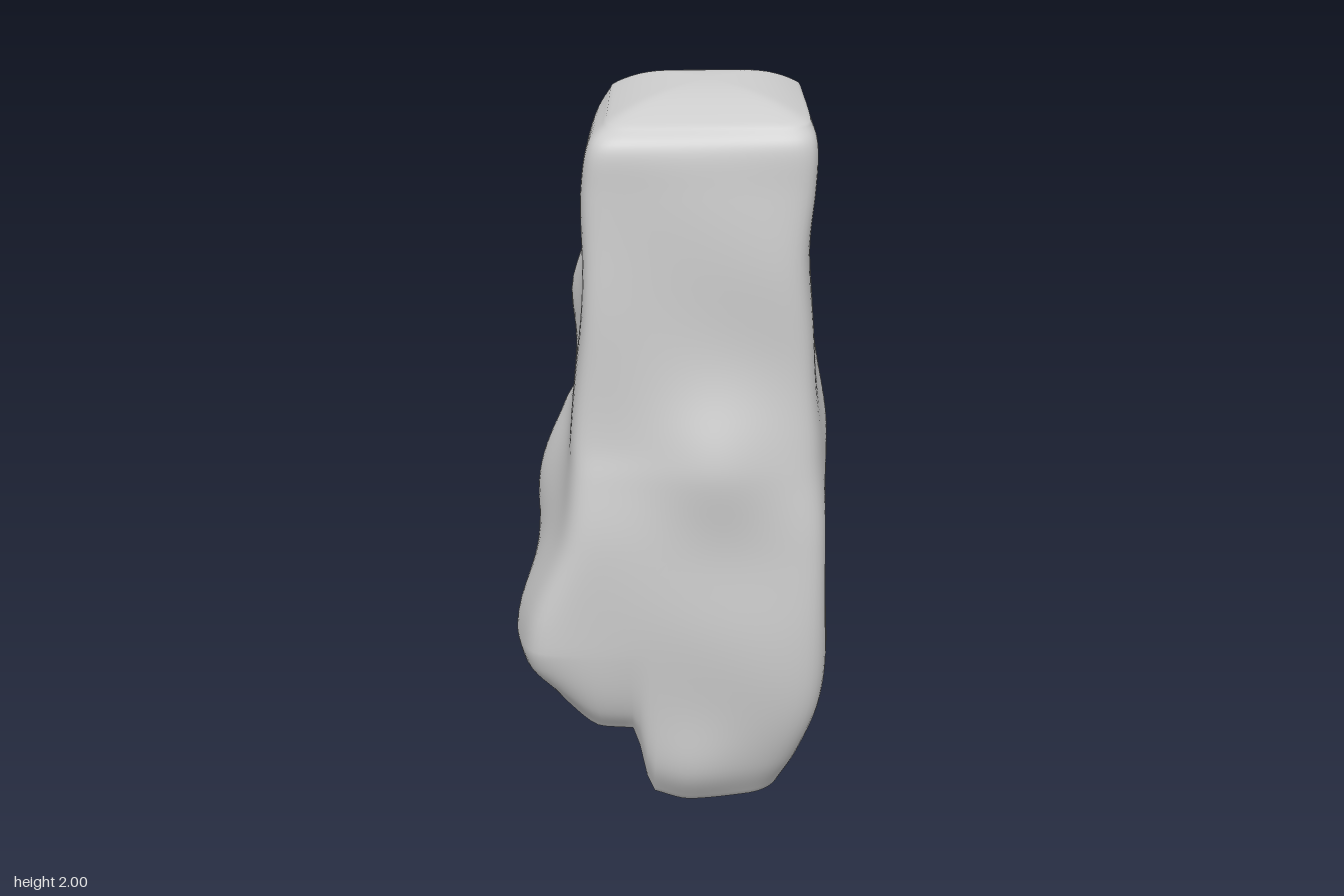
import * as THREE from 'three';

const { smoothstep, lerp } = THREE.MathUtils;

// Corner ridges of the pillar from bottom to top: [y, x, z]
const ridges = {
  backLeft: [[0, -0.27, -0.34], [0.12, -0.3, -0.39], [0.3, -0.32, -0.43], [0.55, -0.33, -0.435], [0.8, -0.33, -0.41], [0.98, -0.31, -0.37],
    [1.1, -0.26, -0.31], [1.3, -0.25, -0.285], [1.55, -0.23, -0.26], [1.75, -0.22, -0.25], [1.87, -0.2, -0.24], [1.95, -0.16, -0.21]],
  backRight: [[0, 0.38, -0.31], [0.12, 0.4, -0.33], [0.3, 0.405, -0.33], [0.55, 0.405, -0.3], [0.8, 0.41, -0.28], [0.98, 0.42, -0.27],
    [1.1, 0.42, -0.26], [1.3, 0.4, -0.255], [1.55, 0.38, -0.25], [1.75, 0.37, -0.24], [1.87, 0.365, -0.235], [1.95, 0.355, -0.22]],
  frontRight: [[0, 0.28, 0.28], [0.12, 0.34, 0.345], [0.3, 0.39, 0.39], [0.55, 0.41, 0.41], [0.8, 0.4, 0.39], [0.98, 0.385, 0.365],
    [1.1, 0.38, 0.355], [1.3, 0.36, 0.345], [1.55, 0.345, 0.345], [1.75, 0.36, 0.335], [1.87, 0.36, 0.325], [1.925, 0.34, 0.29]],
  frontLeft: [[0, -0.33, 0.32], [0.12, -0.37, 0.36], [0.3, -0.4, 0.385], [0.55, -0.4, 0.4], [0.8, -0.32, 0.4], [0.98, -0.29, 0.38],
    [1.1, -0.285, 0.36], [1.3, -0.27, 0.35], [1.55, -0.25, 0.345], [1.75, -0.255, 0.335], [1.87, -0.24, 0.325], [1.925, -0.19, 0.28]],
};

// Soft lumps and dents: [centre], radius, [push]
const lumps = [
  [[-0.37, 0.48, 0.13], 0.2, [-0.065, 0, 0]],
  [[-0.32, 0.88, 0.0], 0.19, [-0.06, 0, 0]],
  [[-0.24, 1.42, -0.04], 0.11, [-0.03, 0, 0]],
  [[0.1, 1.03, 0.37], 0.17, [0, 0, 0.045]],
  [[0.05, 0.1, 0.33], 0.15, [0, 0, 0.03]],
  [[0.4, 0.35, 0.03], 0.25, [0.025, 0, 0]],
  [[0.36, 0.08, 0.03], 0.13, [0.045, 0, 0]],
  [[0.4, 1.0, 0.05], 0.2, [0.02, 0, 0]],
  [[0.18, 0.45, -0.35], 0.15, [0, 0, -0.02]],
];

// Height of the broken underside: a sloping foot at front right, raised ledges elsewhere
function underside(x, z) {
  const foot = smoothstep(x, -0.12, -0.065) * smoothstep(z, -0.165, -0.115);
  const slope = Math.max(0, (0.22 - z) / 0.34);
  const footY = 0.005 + 0.105 * slope ** 1.2
    + 0.04 * smoothstep(x, 0.2, 0.42) + 0.035 * (1 - smoothstep(x, -0.1, 0.04));
  const front = smoothstep(z, -0.2, 0.08);
  const ledgeY = 0.185 + 0.015 * smoothstep(-x, 0.1, 0.3) + 0.045 * front
    + 0.11 * front * smoothstep(-x, 0.2, 0.36);
  return lerp(ledgeY, footY, foot);
}

function createRockGeometry() {
  const perSide = 32, around = perSide * 4, sideRings = 80, capRings = 24, blend = 0.5;
  const curves = Object.values(ridges).map(list => new THREE.CatmullRomCurve3(
    list.map(([y, x, z]) => new THREE.Vector3(x, y, z)), false, 'catmullrom', 0.5));

  // Rounded-square directions, walking right, front, left, back
  const walk = [];
  for (let j = 0; j < around; j++) {
    const side = Math.floor(j / perSide), k = -1 + 2 * (j % perSide) / perSide;
    const [u, v] = [[1, k], [-k, 1], [-1, -k], [k, -1]][side];
    const r = (Math.abs(u) ** 10 + Math.abs(v) ** 10) ** 0.1;
    walk.push([u / r, v / r]);
  }

  // One cross-section, blended between the four ridges and shrunk by s
  const section = (t, s) => {
    const [bl, br, fr, fl] = curves.map(c => c.getPoint(t));
    return walk.map(([u, v]) => {
      const a = (u * s + 1) / 2, b = (v * s + 1) / 2;
      return bl.clone().lerp(br, a).lerp(fl.clone().lerp(fr, a), b);
    });
  };

  const rings = [];
  for (let i = 0; i < capRings; i++) {
    const ring = section(0, Math.max(i / capRings, 0.001));
    ring.forEach(p => { p.y = underside(p.x, p.z); });
    rings.push(ring);
  }
  for (let i = 0; i <= sideRings; i++) {
    const ring = section(i / sideRings, 1);
    ring.forEach(p => {
      if (p.y < blend) {
        const low = underside(p.x, p.z);
        p.y = low + p.y * (blend - low) / blend;
      }
    });
    rings.push(ring);
  }
  // Crown: domed, highest a little behind the middle
  for (let i = capRings - 1; i >= 0; i--) {
    const s = Math.max(i / capRings, 0.001), ring = section(1, s);
    ring.forEach(p => { p.y += (1 - s ** 2.5) * (0.062 - 0.03 * (p.z - 0.04)); });
    rings.push(ring);
  }

  const positions = [], index = [], centre = new THREE.Vector3(), push = new THREE.Vector3();
  rings.forEach((ring, i) => ring.forEach((p, j) => {
    const start = p.clone();
    for (const [c, radius, d] of lumps) {
      const w = Math.exp(-start.distanceToSquared(centre.set(...c)) / (radius * radius));
      p.addScaledVector(push.set(...d), w);
    }
    // Gentle weathering
    p.x += 0.003 * Math.sin(start.y * 13 + start.z * 9);
    p.z += 0.003 * Math.sin(start.y * 11 + start.x * 10 + 1);
    positions.push(p.x, p.y, p.z);
    if (i === rings.length - 1) return;
    const a = i * around + j, b = i * around + (j + 1) % around;
    index.push(a, a + around, b, b, a + around, b + around);
  }));

  const geometry = new THREE.BufferGeometry();
  geometry.setAttribute('position', new THREE.Float32BufferAttribute(positions, 3));
  geometry.setIndex(index);
  geometry.computeVertexNormals();
  return geometry;
}

export function createModel() {
  const group = new THREE.Group();
  group.name = 'rockPillar';
  const rock = new THREE.Mesh(createRockGeometry(),
    new THREE.MeshStandardMaterial({ color: 0xcccccc }));
  rock.name = 'rock';
  group.add(rock);
  return group;
}
